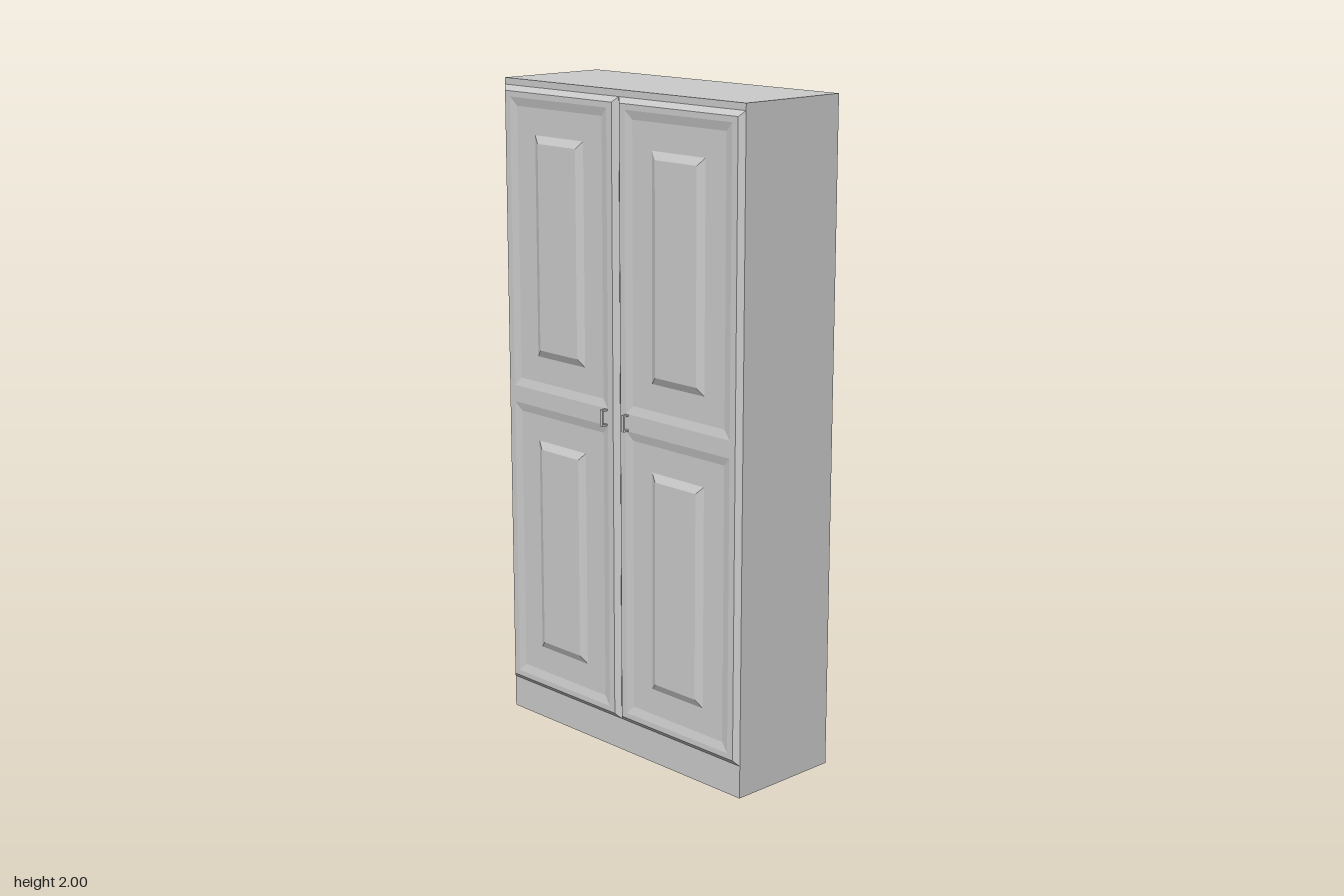
import * as THREE from 'three';
import { mergeGeometries } from 'three/addons/utils/BufferGeometryUtils.js';

const BACK = -0.202, FRONT = 0.168;          // carcass depth
const FACE = 0.182, FLOOR = 0.176, RAISED = 0.187; // door levels
const material = new THREE.MeshStandardMaterial({ color: 0xcccccc, flatShading: true });

// Rectangles are [x0, y0, x1, y1]
const inset = ([x0, y0, x1, y1], d) => [x0 + d, y0 + d, x1 - d, y1 - d];
const corners = ([x0, y0, x1, y1]) => [[x0, y0], [x1, y0], [x1, y1], [x0, y1]];
const points = (r) => corners(r).map(([x, y]) => new THREE.Vector2(x, y));

// Flat rectangle facing +z, with rectangular openings
function flat(rect, z, holes = []) {
  const shape = new THREE.Shape(points(rect));
  holes.forEach((h) => shape.holes.push(new THREE.Path(points(h))));
  const g = new THREE.ShapeGeometry(shape).toNonIndexed();
  g.deleteAttribute('uv');
  return g.translate(0, 0, z);
}

// Mitred sloping border from the outer rectangle at z0 to the inner one at z1
function slope(outer, d, z0, z1) {
  const o = corners(outer), n = corners(inset(outer, d)), pos = [];
  for (let i = 0; i < 4; i++) {
    const j = (i + 1) % 4;
    const a = [...o[i], z0], b = [...o[j], z0], c = [...n[j], z1], e = [...n[i], z1];
    pos.push(...a, ...b, ...c, ...a, ...c, ...e);
  }
  const g = new THREE.BufferGeometry();
  g.setAttribute('position', new THREE.Float32BufferAttribute(pos, 3));
  g.computeVertexNormals();
  return g;
}

// Door with chamfered edge and two sunken fields, each with a raised panel
function doorGeometry() {
  const edge = [-0.25, 0.1, 0.25, 1.98];
  const fields = [0.133, 1.066].map((y) => [-0.212, y, 0.212, y + 0.881]);
  const parts = [slope(edge, 0.016, FRONT, FACE), flat(inset(edge, 0.016), FACE, fields)];
  for (const field of fields) {
    const [, y0, , y1] = field;
    const panel = [-0.106, y0 + 0.106, 0.106, y1 - 0.106];
    parts.push(
      slope(field, 0.026, FACE, FLOOR),
      flat(inset(field, 0.026), FLOOR, [panel]),
      slope(panel, 0.023, FLOOR, RAISED),
      flat(inset(panel, 0.023), RAISED),
    );
  }
  return mergeGeometries(parts);
}

// Square U-shaped pull, open towards the door
function handleGeometry() {
  const h = 0.025, z = 0.02, t = 0.005;
  const outline = [[0, -h], [z, -h], [z, h], [0, h], [0, h - t], [z - t, h - t], [z - t, t - h], [0, t - h]];
  const shape = new THREE.Shape(outline.map(([x, y]) => new THREE.Vector2(x, y)));
  return new THREE.ExtrudeGeometry(shape, { depth: 0.01, bevelEnabled: false })
    .translate(0, 0, -0.005).rotateY(-Math.PI / 2);
}

export function createModel() {
  const group = new THREE.Group();
  const add = (name, geometry, x, y, z) => {
    const mesh = new THREE.Mesh(geometry, material);
    mesh.name = name;
    mesh.position.set(x, y, z);
    group.add(mesh);
  };
  const depth = FRONT - BACK, midZ = (FRONT + BACK) / 2;

  // Closed body above a hollow plinth
  add('carcass', new THREE.BoxGeometry(1, 1.92, depth), 0, 1.04, midZ);
  const plinth = new THREE.Shape(points([-0.5, -depth / 2, 0.5, depth / 2]));
  plinth.holes.push(new THREE.Path(points(inset([-0.5, -depth / 2, 0.5, depth / 2], 0.02))));
  add('plinth', new THREE.ExtrudeGeometry(plinth, { depth: 0.08, bevelEnabled: false })
    .rotateX(-Math.PI / 2), 0, 0, midZ);

  // Pair of doors with pulls beside the centre gap
  const door = doorGeometry(), handle = handleGeometry();
  for (const [side, s] of [['left', 1], ['right', -1]]) {
    add(side + 'Door', door, s * 0.25, 0, 0);
    add(side + 'Handle', handle, s * 0.046, 1.04, FACE);
  }
  return group;
}
